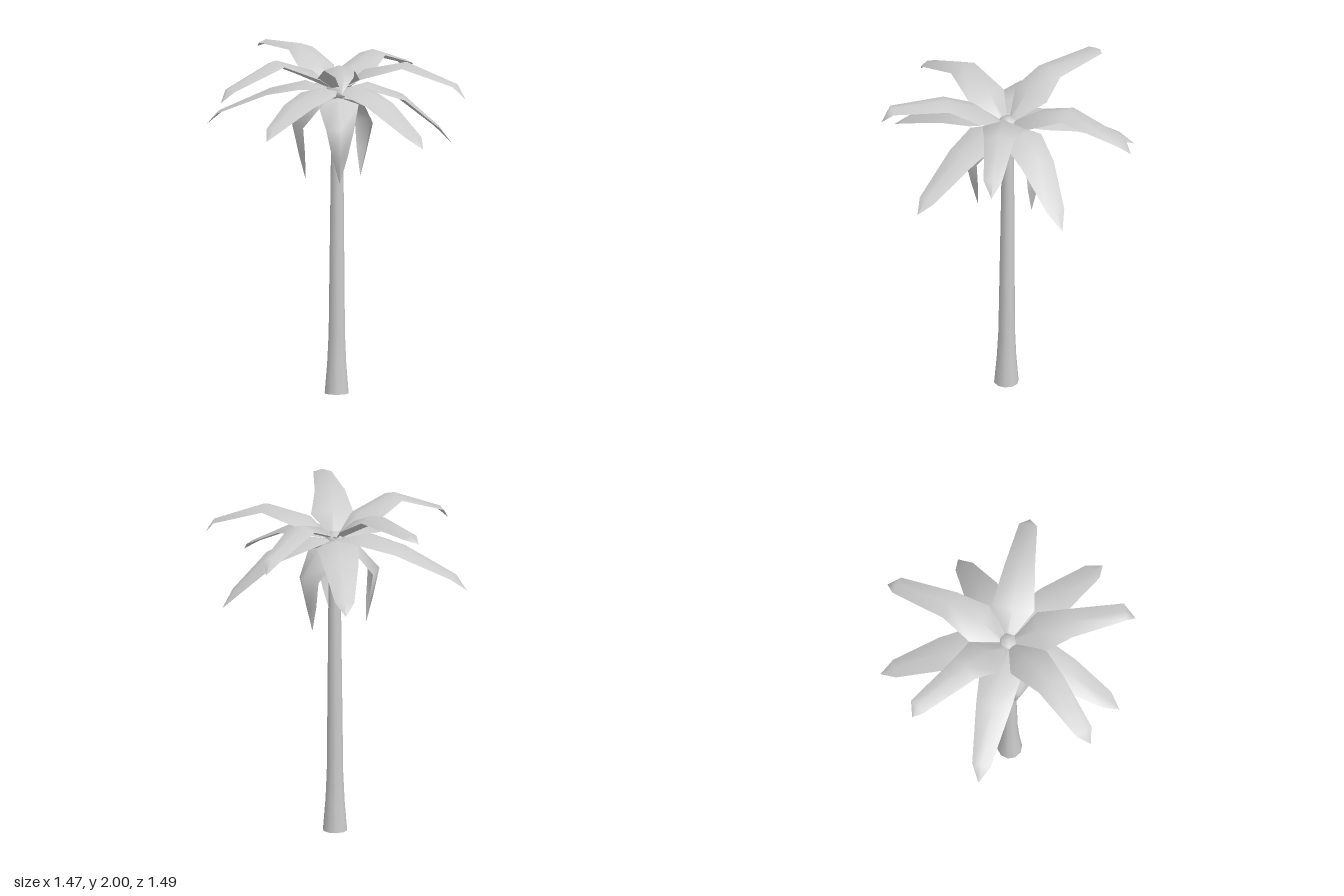
import * as THREE from 'three';

const leafMat = new THREE.MeshStandardMaterial({ color: 0xcccccc, side: THREE.DoubleSide });
const trunkMat = new THREE.MeshStandardMaterial({ color: 0xcccccc });

// Folded leaf: rows of [distance out, height, half width, fold depth, sideways shift],
// ending in a point. Both edges fold toward the underside, square to the spine.
// Runs along +z, then turns to face the tip at (x, z).
function frond(name, x, z, rows) {
  const pos = [], index = [];
  rows.forEach(([r, y, w, fold, shift = 0], i) => {
    const before = rows[Math.max(i - 1, 0)], after = rows[Math.min(i + 1, rows.length - 1)];
    const dir = new THREE.Vector2(after[0] - before[0], after[1] - before[1]).normalize();
    const er = r + dir.y * fold, ey = y - dir.x * fold;
    pos.push(shift - w, ey, er, shift, y, r, shift + w, ey, er);
    if (i === 0) return;
    const b = i * 3, a = b - 3;
    for (let k = 0; k < 2; k++) {
      index.push(a + k, b + k, a + k + 1, a + k + 1, b + k, b + k + 1);
    }
  });
  const geo = new THREE.BufferGeometry();
  geo.setAttribute('position', new THREE.Float32BufferAttribute(pos, 3));
  geo.setIndex(index);
  geo.computeVertexNormals();
  const mesh = new THREE.Mesh(geo, leafMat);
  mesh.name = name;
  mesh.rotation.y = Math.atan2(x, z);
  return mesh;
}

export function createModel() {
  const palm = new THREE.Group();
  palm.name = 'palmTree';

  // Trunk: flared foot, slim taper, leaning very slightly
  const profile = [[0.072, 0], [0.057, 0.18], [0.049, 0.35], [0.044, 0.8],
    [0.037, 1.45], [0.032, 1.74]].map(([r, y]) => new THREE.Vector2(r, y));
  const trunkGeo = new THREE.LatheGeometry(profile, 10);
  const p = trunkGeo.attributes.position;
  for (let i = 0; i < p.count; i++) {
    const lean = 1 - p.getY(i) / 1.74;
    p.setX(i, p.getX(i) + 0.004 * (1 - lean));
    p.setZ(i, p.getZ(i) + 0.01 * lean);
  }
  const trunk = new THREE.Mesh(trunkGeo, trunkMat);
  trunk.name = 'trunk';
  palm.add(trunk);

  // Flat underside of the foot
  const foot = new THREE.Mesh(new THREE.CircleGeometry(0.072, 10, Math.PI / 2), trunkMat);
  foot.name = 'trunkFoot';
  foot.rotation.x = Math.PI / 2;
  foot.position.z = 0.01;
  palm.add(foot);

  // Bud that the leaves grow from
  const bud = new THREE.Mesh(new THREE.SphereGeometry(0.065, 6, 4), trunkMat);
  bud.name = 'crownBud';
  bud.scale.y = 0.8;
  bud.position.y = 1.765;
  palm.add(bud);

  // Upper ring: [tip x, tip z, shoulder y, middle distance, middle y, near-tip y, tip y, shift]
  const upper = [
    [0.455, -0.635, 1.89, 0.38, 1.96, 1.85, 1.77, 0],
    [0.735, 0.24, 1.90, 0.42, 1.955, 1.84, 1.75, 0],
    [0.0, 0.745, 1.90, 0.36, 1.975, 1.97, 1.87, 0.017],
    [-0.685, 0.38, 1.90, 0.41, 1.98, 1.84, 1.76, 0],
    [-0.43, -0.625, 1.92, 0.34, 2.0, 1.975, 1.93, -0.018],
  ];
  for (const [x, z, y1, r2, y2, y3, y4, shift] of upper) {
    const tip = Math.hypot(x, z);
    palm.add(frond('upperFrond', x, z, [
      [0.035, 1.79, 0.025, 0.005], [0.165, y1, 0.125, 0.045], [r2, y2, 0.088, 0.03],
      [tip - 0.055, y3, 0.053, 0.015, shift], [tip, y4, 0, 0]]));
  }

  // Lower ring, arching down
  const lower = [
    [0.0, -0.745, 1.82, 1.76, 1.61, 1.54],
    [0.67, -0.19, 1.81, 1.73, 1.53, 1.43],
    [0.475, 0.625, 1.82, 1.76, 1.59, 1.52],
    [-0.43, 0.585, 1.81, 1.755, 1.635, 1.565],
    [-0.74, -0.285, 1.82, 1.765, 1.615, 1.53],
  ];
  for (const [x, z, y1, y2, y3, y4] of lower) {
    const tip = Math.hypot(x, z);
    palm.add(frond('lowerFrond', x, z, [
      [0.03, 1.775, 0.025, 0.005], [0.19, y1, 0.122, 0.04], [0.4, y2, 0.102, 0.03],
      [tip - 0.075, y3, 0.055, 0.013], [tip, y4, 0, 0]]));
  }

  // Three old leaves hanging beside the trunk
  for (const [x, z] of [[0.01, 0.17], [0.14, -0.11], [-0.19, 0.02]]) {
    palm.add(frond('hangingFrond', x, z, [
      [0.02, 1.73, 0.025, 0.005], [0.125, 1.74, 0.118, 0.045], [0.26, 1.58, 0.08, 0.055],
      [0.22, 1.4, 0.045, 0.03], [0.18, 1.25, 0, 0]]));
  }
  return palm;
}
